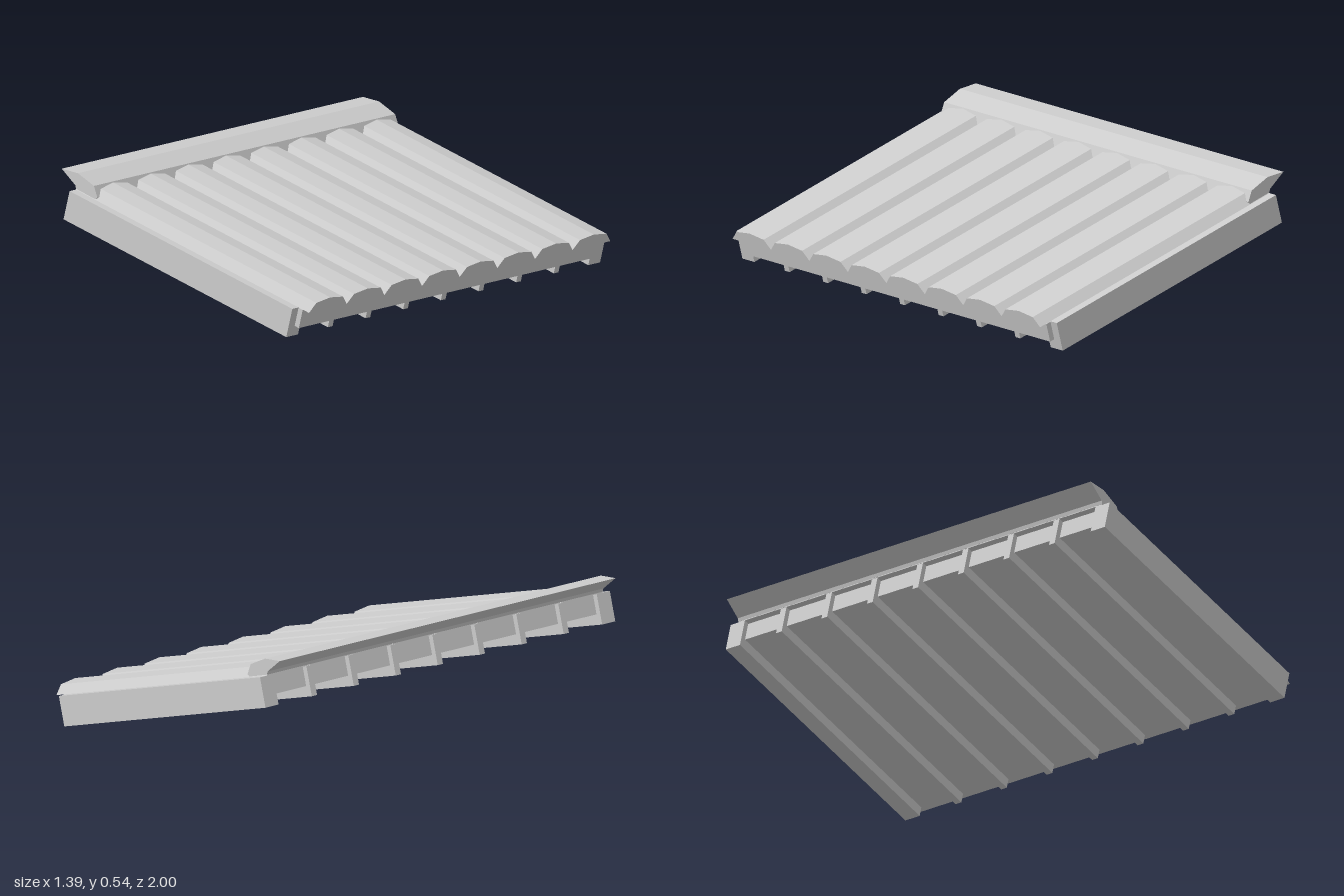
import * as THREE from 'three';

const material = new THREE.MeshStandardMaterial({ color: 0xcccccc, flatShading: true });

function add(parent, name, geometry) {
  const mesh = new THREE.Mesh(geometry, material);
  mesh.name = name;
  parent.add(mesh);
  return mesh;
}

// Box given by its limits along the slope (u), across its thickness (v) and along z
function slab(parent, name, u0, u1, v0, v1, z0, z1) {
  const mesh = add(parent, name, new THREE.BoxGeometry(u1 - u0, v1 - v0, z1 - z0));
  mesh.position.set((u0 + u1) / 2, (v0 + v1) / 2, (z0 + z1) / 2);
}

function prism(points, depth) {
  const shape = new THREE.Shape(points.map(([x, y]) => new THREE.Vector2(x, y)));
  return new THREE.ExtrudeGeometry(shape, { depth, bevelEnabled: false });
}

export function createModel() {
  const model = new THREE.Group();
  model.name = 'slopedTileRoof';

  // Everything but the ridge cap lies in the tilted plane of the roof
  const roof = new THREE.Group();
  roof.name = 'roofSlope';
  roof.position.set(0.591, 0.001, 0);
  roof.rotation.z = -Math.PI / 12;
  model.add(roof);

  const top = -1.282;
  const pitch = 0.24;

  // Side beams and rafters
  slab(roof, 'sideBeamLeft', top, 0, 0, 0.13, 0.925, 1);
  slab(roof, 'sideBeamRight', top, 0, 0, 0.13, -1, -0.925);
  for (let i = -3; i <= 3; i++) {
    slab(roof, 'rafter', top, 0, 0, 0.129, i * pitch - 0.015, i * pitch + 0.015);
  }

  // Thick deck between the rafters, set slightly toward the eaves
  slab(roof, 'deck', top + 0.024, 0.024, 0.045, 0.128, -0.96, 0.96);

  // Eight faceted rows of barrel tiles
  const profile = [
    [-0.12, 0.13], [0.12, 0.13], [0.085, 0.17], [0, 0.181], [-0.085, 0.17],
  ];
  const tile = prism(profile, 0.06 - top);
  tile.rotateY(Math.PI / 2);
  for (let i = 0; i < 8; i++) {
    add(roof, 'tileRow', tile).position.set(top, 0, (i - 3.5) * pitch);
  }

  // Ridge cap with a tip overhanging the upper edge
  const cap = prism([
    [-0.692, 0.537], [-0.617, 0.477], [-0.613, 0.462], [-0.505, 0.432],
    [-0.494, 0.441], [-0.513, 0.488], [-0.602, 0.53],
  ], 1.92);
  add(model, 'ridgeCap', cap).position.z = -0.96;

  return model;
}
